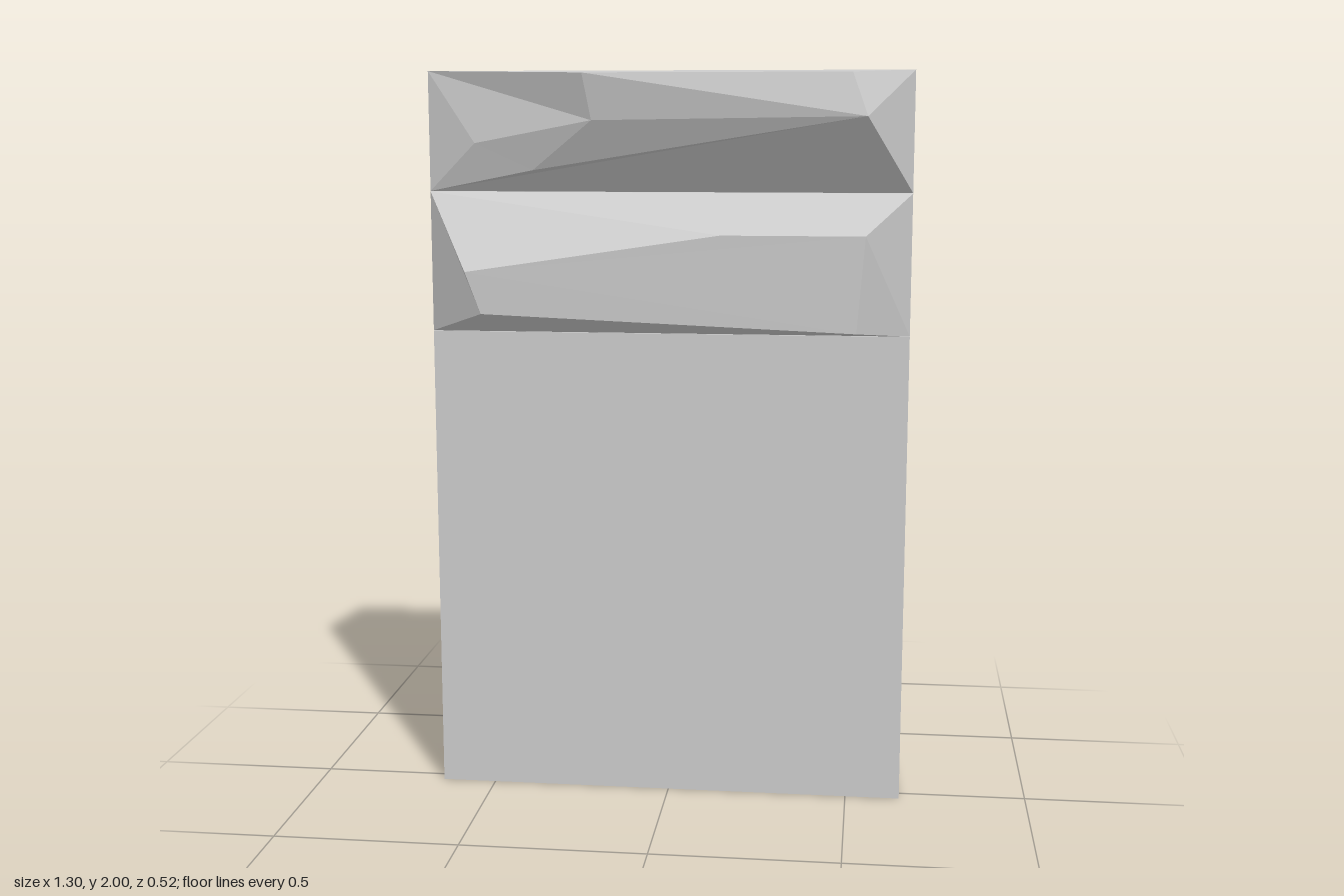
import * as THREE from 'three';

const material = new THREE.MeshStandardMaterial({ color: 0xcccccc, flatShading: true });

// A hewn block: front frame (a b c d) and back frame (e f g h), both counter-clockwise
// from bottom left as seen from the front; extra points and faces shape the rough front.
function block(name, front, back, points = {}, faces = ['abcd']) {
  const frame = ({ x0, x1, y0, y1, z0, z1 }) => [[-x0, y0, z0], [x0, y0, z0], [x1, y1, z1], [-x1, y1, z1]];
  const p = { ...points };
  [...frame(front), ...frame(back)].forEach((v, i) => { p['abcdefgh'[i]] = v; });

  const positions = [];
  for (const face of [...faces, 'aefb', 'bfgc', 'cghd', 'dhea', 'fehg']) {
    for (let i = 1; i < face.length - 1; i++) {
      positions.push(...p[face[0]], ...p[face[i]], ...p[face[i + 1]]);
    }
  }
  const geometry = new THREE.BufferGeometry();
  geometry.setAttribute('position', new THREE.Float32BufferAttribute(positions, 3));
  geometry.computeVertexNormals();
  const mesh = new THREE.Mesh(geometry, material);
  mesh.name = name;
  return mesh;
}

const frontFrame = (y0, y1) => ({ x0: 0.65, x1: 0.65, y0, y1, z0: 0.04, z1: 0.04 });
const backFrame = (y0, y1, x1 = 0.637, z1 = -0.257) => ({ x0: 0.637, x1, y0, y1, z0: -0.257, z1 });

export function createModel() {
  const model = new THREE.Group();
  model.name = 'stoneWall';

  // Plain tall slab
  model.add(block('lowerSlab', frontFrame(0, 1.3), backFrame(0.012, 1.29)));

  // Middle stone with a bulging front
  model.add(block('middleStone', frontFrame(1.301, 1.68), backFrame(1.306, 1.678), {
    P: [-0.51, 1.48, 0.255],
    Q: [-0.47, 1.37, 0.25],
    R: [0.51, 1.33, 0.25],
    S: [0.53, 1.58, 0.26],
    T: [0.16, 1.58, 0.26],
  }, ['PQRST', 'dPTSc', 'daQP', 'abRQ', 'bcSR']));

  // Top stone, bulging on one side and chipped away on the other
  model.add(block('topStone', frontFrame(1.681, 2), backFrame(1.688, 1.99, 0.61, -0.247), {
    A: [-0.2, 1.99, 0.235],
    B: [0.49, 1.99, 0.24],
    C: [0.53, 1.88, 0.258],
    D: [-0.18, 1.87, 0.21],
    E: [-0.51, 1.81, 0.11],
    F: [-0.35, 1.74, 0.13],
  }, ['dABc', 'cBCb', 'abCF', 'ADCB', 'DFC', 'DEF', 'EaF', 'dEDA', 'daE']));

  return model;
}
